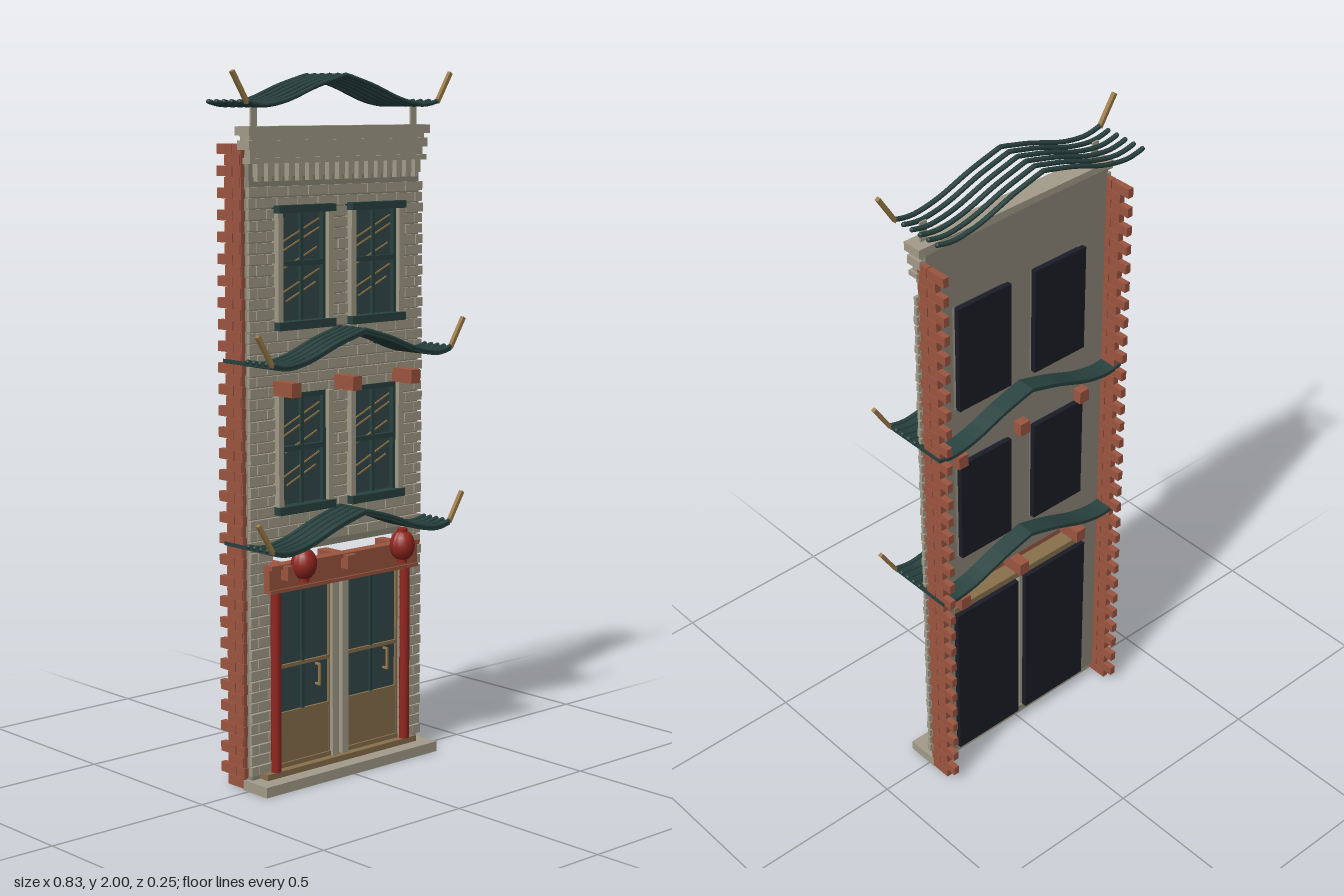
import * as THREE from 'three';
import { mergeGeometries } from 'three/addons/utils/BufferGeometryUtils.js';

const mat = (name, color, side = THREE.FrontSide) => {
  const m = new THREE.MeshStandardMaterial({ color, side });
  m.name = name;
  return m;
};

export function createModel() {
  const root = new THREE.Group();
  root.name = 'shopHouse';
  const stone = mat('stone', 0xa39c8a);
  const mortar = mat('mortar', 0x8c8678);
  const redBrick = mat('redBrick', 0x9c5540);
  const lacquer = mat('redLacquer', 0x93261f);
  const tile = mat('roofTile', 0x28423f);
  const glass = mat('tealGlass', 0x33494b);
  const navy = mat('darkInterior', 0x1c1c27);
  const wood = mat('wood', 0x88704c);
  const gold = mat('gold', 0x9c7c48);

  // Box geometry given by its limits
  const box = (x0, x1, y0, y1, z0, z1) =>
    new THREE.BoxGeometry(x1 - x0, y1 - y0, z1 - z0)
      .translate((x0 + x1) / 2, (y0 + y1) / 2, (z0 + z1) / 2);
  const add = (name, geos, material, parent = root) => {
    const m = new THREE.Mesh(Array.isArray(geos) ? mergeGeometries(geos) : geos, material);
    m.name = name;
    parent.add(m);
    return m;
  };

  // Openings: x0, x1, y0, y1
  const windowRows = [[0.785, 1.115], [1.30, 1.63]];
  const holes = [[-0.25, 0.25, 0.04, 0.665]];
  for (const [y0, y1] of windowRows) {
    holes.push([-0.235, -0.04, y0, y1], [0.04, 0.235, y0, y1]);
  }

  // Backing wall with openings
  const W = 0.32, TOP = 1.83;
  const wallShape = new THREE.Shape([[-W, 0.03], [W, 0.03], [W, TOP], [-W, TOP]].map(p => new THREE.Vector2(...p)));
  for (const [a, b, c, d] of holes) {
    wallShape.holes.push(new THREE.Path([[a, c], [a, d], [b, d], [b, c]].map(p => new THREE.Vector2(...p))));
  }
  add('wall', new THREE.ExtrudeGeometry(wallShape, { depth: 0.034, bevelEnabled: false }).translate(0, 0, -0.032), mortar);

  // Stone bricks, clipped around the openings
  const bricks = [], pitch = 0.0305, len = 0.075, gap = 0.003;
  for (let r = 0; r < 54; r++) {
    const y0 = 0.045 + r * pitch, y1 = y0 + pitch - gap * 1.6;
    let spans = [[-0.328, 0.328]];
    for (const [a, b, c, d] of holes) {
      if (y1 < c + 0.005 || y0 > d - 0.005) continue;
      spans = spans.flatMap(([s, e]) => (b <= s || a >= e) ? [[s, e]] : [[s, a], [b, e]]);
    }
    const shift = r % 2 ? len / 2 : 0;
    for (const [s, e] of spans) {
      for (let x = -0.45 + shift; x < 0.4; x += len) {
        const a = Math.max(x, s), b = Math.min(x + len - gap, e);
        if (b - a > 0.008) bricks.push(box(a, b, y0, y1, 0, (a + b + r * 2) % 3 < 1 ? 0.013 : 0.01));
      }
    }
  }
  add('stoneBricks', bricks, stone);

  // Toothed red brick side walls
  const sideBricks = [];
  for (const s of [-1, 1]) {
    const put = (y, z0, z1) => sideBricks.push(box(s < 0 ? -0.334 : 0.316, s < 0 ? -0.316 : 0.334, y, y + 0.028, z0, z1));
    for (let r = 0; r < 60; r++) {
      const y = 0.005 + r * 0.03;
      if (r % 2) {
        put(y, -0.05, -0.015);
        put(y, -0.117, -0.053);
      } else put(y, -0.085, -0.021);
    }
    sideBricks.push(box(s < 0 ? -0.331 : 0.319, s < 0 ? -0.319 : 0.331, 0.005, 1.8, -0.083, -0.018));
  }
  add('sideBricks', sideBricks, redBrick);

  // Base step and threshold
  add('baseStep', box(-0.333, 0.333, 0, 0.03, -0.02, 0.08), stone);
  add('threshold', box(-0.29, 0.29, 0.03, 0.047, -0.02, 0.035), wood);

  // Cornice, frieze and dentils
  const cornice = [
    box(-0.34, 0.34, 1.825, 1.85, -0.032, 0.028),
    box(-0.328, 0.328, 1.812, 1.825, -0.025, 0.016),
    box(-0.336, 0.336, 1.787, 1.812, -0.028, 0.022),
    box(-0.325, 0.325, 1.765, 1.787, -0.01, 0.014),
    box(-0.332, 0.332, 1.75, 1.765, -0.01, 0.022),
  ];
  for (let i = 0; i < 17; i++) {
    const x = -0.296 + i * 0.037;
    cornice.push(box(x - 0.011, x + 0.011, 1.715, 1.75, 0, 0.024), box(x - 0.007, x + 0.007, 1.702, 1.715, 0, 0.019));
  }
  add('cornice', cornice, stone);
  add('roofPosts', [-1, 1].map(s => box(s * 0.3 - 0.011, s * 0.3 + 0.011, 1.85, 1.908, -0.004, 0.002)), stone);

  // Windows
  const addWindow = (cx, y0, y1, lintel) => {
    const g = new THREE.Group();
    g.name = 'window';
    g.position.x = cx;
    root.add(g);
    const ym = (y0 + y1) / 2 + 0.01;
    add('interior', box(-0.093, 0.093, y0, y1, -0.05, -0.034), navy, g);
    add('pane', box(-0.086, 0.086, y0 + 0.01, y1 - 0.005, -0.034, 0), glass, g);
    add('jambs', [-1, 1].map(s => box(s * 0.093 - 0.009, s * 0.093 + 0.009, y0, y1, -0.03, 0.028)), stone, g);
    const frame = [
      box(-0.084, -0.074, y0, y1, 0, 0.014), box(0.074, 0.084, y0, y1, 0, 0.014),
      box(-0.084, 0.084, y1 - 0.014, y1, 0, 0.014), box(-0.005, 0.005, y0, y1, 0, 0.01),
      box(-0.084, 0.084, ym - 0.007, ym + 0.007, 0, 0.014),
      box(-0.104, 0.104, y0 - 0.006, y0 + 0.017, -0.01, 0.036),
    ];
    if (lintel) frame.push(box(-0.104, 0.104, y1 - 0.015, y1 + 0.006, -0.01, 0.036));
    add('frame', frame, tile, g);
    // Slanting glints
    const glints = [[0.265, 0.15], [0.24, 0.15], [0.19, 0.13], [0.125, 0.15], [0.095, 0.12]].map(([h, l]) =>
      new THREE.BoxGeometry(l, 0.004, 0.003).rotateZ(0.42).translate(0, y0 + h, 0.004));
    add('glints', glints, gold, g);
  };
  windowRows.forEach(([y0, y1], i) => [-0.136, 0.136].forEach(x => addWindow(x, y0, y1, i === 1)));

  // Doors
  for (const s of [-1, 1]) {
    const g = new THREE.Group();
    g.name = 'door';
    g.position.x = s * 0.133;
    root.add(g);
    add('interior', box(-0.118, 0.118, 0.047, 0.575, -0.05, -0.034), navy, g);
    add('pane', box(-0.104, 0.104, 0.2, 0.57, -0.034, 0), glass, g);
    add('lowerPanel', box(-0.104, 0.104, 0.06, 0.205, -0.034, 0.006), wood, g);
    add('rails', [box(-0.104, 0.104, 0.335, 0.345, 0, 0.008), box(-0.104, 0.104, 0.047, 0.06, -0.03, 0.012),
      box(-0.104, -0.098, 0.06, 0.57, 0, 0.008), box(0.098, 0.104, 0.06, 0.57, 0, 0.008),
      box(-0.104, 0.104, 0.2, 0.207, 0, 0.008)], wood, g);
    add('stile', [box(-0.005, 0.005, 0.207, 0.57, 0, 0.007)], tile, g);
    add('handle', [box(0.051, 0.057, 0.265, 0.33, 0.014, 0.02), box(0.051, 0.057, 0.265, 0.271, 0, 0.016),
      box(0.051, 0.057, 0.324, 0.33, 0, 0.016)], gold, g);
    add('doorPost', box(s * -0.114 - 0.012, s * -0.114 + 0.012, 0.047, 0.57, -0.03, 0.02), stone, g);
    // Red columns beside the doors
    add('column', new THREE.CylinderGeometry(0.015, 0.015, 0.52, 10).translate(s * 0.117, 0.307, 0.025), lacquer, g);
  }
  add('transom', box(-0.25, 0.25, 0.575, 0.595, -0.035, 0.015), wood);

  // Beam over the doors and the projecting beam ends
  add('signBeam', [box(-0.285, 0.285, 0.565, 0.645, 0.015, 0.04), box(-0.285, 0.285, 0.632, 0.645, 0.02, 0.05),
    box(-0.285, 0.285, 0.565, 0.575, 0.02, 0.046)], redBrick);
  const ends = [];
  for (const x of [-0.227, 0, 0.227]) {
    ends.push(box(x - 0.017, x + 0.017, 1.115, 1.155, -0.06, 0.09), box(x - 0.017, x + 0.017, 0.602, 0.642, -0.06, 0.07));
  }
  add('beamEnds', ends, redBrick);

  // Ribbed lanterns
  for (const s of [-1, 1]) {
    const geo = new THREE.SphereGeometry(1, 24, 10);
    const p = geo.attributes.position;
    for (let i = 0; i < p.count; i++) {
      const k = 1 + 0.05 * Math.cos(12 * Math.atan2(p.getZ(i), p.getX(i)));
      p.setXYZ(i, p.getX(i) * 0.036 * k, p.getY(i) * 0.045, p.getZ(i) * 0.036 * k);
    }
    geo.computeVertexNormals();
    const l = add('lantern', geo, lacquer);
    l.position.set(s * 0.19, 0.645, 0.076);
    add('lanternCaps', [-1, 1].map(e => new THREE.CylinderGeometry(0.015, 0.015, 0.012, 12).translate(0, e * 0.044, 0)), lacquer, l);
  }

  // Sweeping roofs: half profile from the ridge to the eave
  const half = new THREE.SplineCurve([[0, 0.08], [0.1, 0.052], [0.2, 0.015], [0.27, 0], [0.31, 0], [0.345, 0.008]]
    .map(p => new THREE.Vector2(...p))).getPoints(14);
  const profile = [...half.slice(1).reverse().map(p => new THREE.Vector2(-p.x, p.y)), ...half];
  const addRoof = (name, y, scale, zs, slab) => {
    const g = new THREE.Group();
    g.name = name;
    g.position.y = y;
    root.add(g);
    const pts = profile.map(p => new THREE.Vector2(p.x * scale, p.y));
    const ribs = zs.map(z => new THREE.TubeGeometry(
      new THREE.CatmullRomCurve3(pts.map(p => new THREE.Vector3(p.x, p.y, z))), 36, 0.0068, 8));
    const tips = zs.flatMap(z => [-1, 1].map(s => new THREE.SphereGeometry(0.0068, 8, 5)
      .translate(s * 0.345 * scale, 0.008, z)));
    add('ribs', [...ribs, ...tips], tile, g);
    if (slab) {
      const low = pts.map(p => new THREE.Vector2(p.x, p.y - 0.011)).reverse();
      add('tileSlab', new THREE.ExtrudeGeometry(new THREE.Shape([...pts, ...low]),
        { depth: 0.213, bevelEnabled: false }).translate(0, 0, -0.09), tile, g);
    }
    // Upturned gold horns at the front corners
    for (const s of [-1, 1]) {
      const x = 0.345 * scale;
      const horn = new THREE.BoxGeometry(0.011, 0.1, 0.012).translate(0, 0.05, 0).rotateZ(-s * 0.56);
      add('horn', horn.translate(s * x, 0.004, zs[0]), gold, g);
    }
  };
  addRoof('topRoof', 1.908, 1.03, [0.04, 0.007, -0.026, -0.058, -0.09, -0.123], false);
  addRoof('middleRoof', 1.208, 0.98, [0.118, 0.092, 0.066, 0.04, 0.014], true);
  addRoof('lowerRoof', 0.696, 0.98, [0.118, 0.092, 0.066, 0.04, 0.014], true);

  return root;
}
